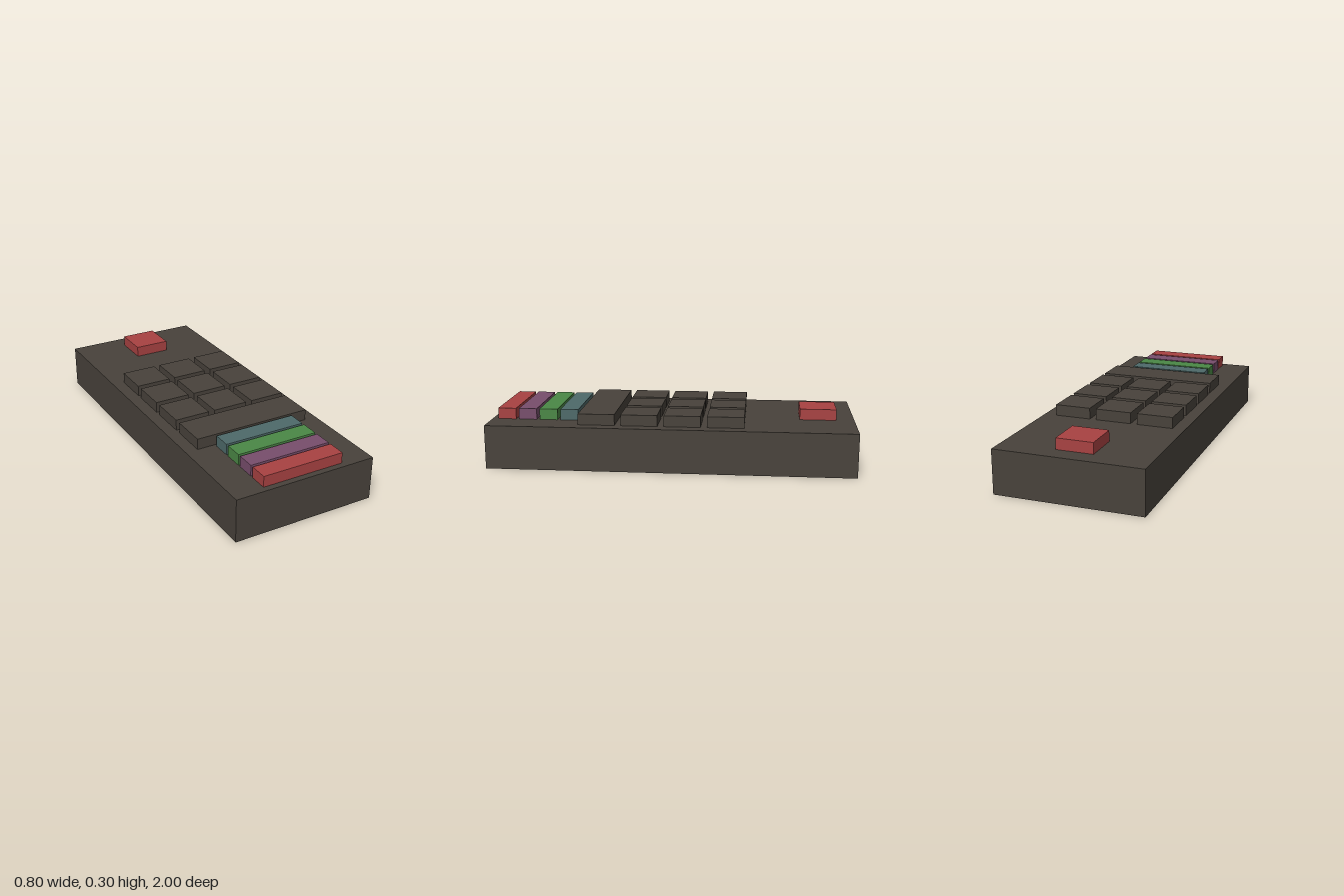
import * as THREE from 'three';

export function createModel() {
  const group = new THREE.Group();
  group.name = 'remoteControl';

  const material = (name, color) => {
    const m = new THREE.MeshStandardMaterial({ color });
    m.name = name;
    return m;
  };
  const charcoal = material('charcoal', 0x48423b);
  const red = material('red', 0xa84242);
  const purple = material('purple', 0x784e6c);
  const green = material('green', 0x4b8846);
  const teal = material('teal', 0x4e6a6a);

  const bodyHeight = 0.24;
  const keyHeight = 0.06;

  // Box given by its footprint centre, size and base height
  function addBox(name, mat, x, z, width, depth, base, height) {
    const mesh = new THREE.Mesh(new THREE.BoxGeometry(width, height, depth), mat);
    mesh.name = name;
    mesh.position.set(x, base + height / 2, z);
    group.add(mesh);
  }
  const addKey = (name, mat, x, z, width, depth) =>
    addBox(name, mat, x, z, width, depth, bodyHeight, keyHeight);

  // Casing
  addBox('body', charcoal, 0, 0, 0.8, 2, 0, bodyHeight);

  // Power button at the far end
  addKey('powerButton', red, 0, -0.8, 0.2, 0.2);

  // Three by three keypad with a wide key below
  const pitch = 0.2333;
  for (let row = 0; row < 3; row++) {
    for (let col = 0; col < 3; col++) {
      addKey(`key${row * 3 + col + 1}`, charcoal, (col - 1) * pitch, -0.3 + row * pitch, 0.198, 0.198);
    }
  }
  addKey('wideKey', charcoal, 0, 0.4, 0.664, 0.2);

  // Coloured bars at the near end
  [['tealBar', teal], ['greenBar', green], ['purpleBar', purple], ['redBar', red]].forEach(
    ([name, mat], i) => addKey(name, mat, 0, 0.567 + i * 0.1167, 0.46, 0.1)
  );

  return group;
}
